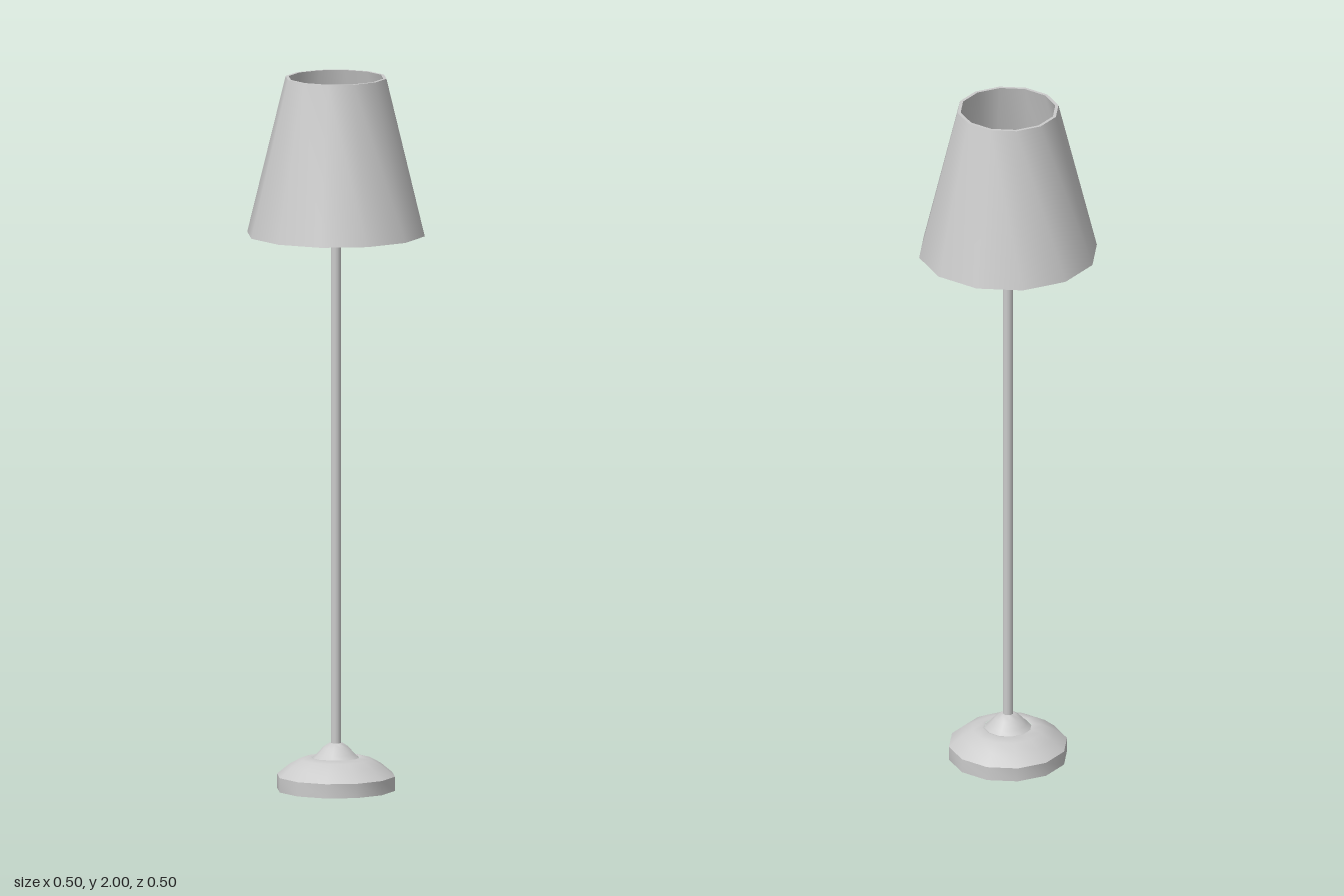
import * as THREE from 'three';
import { toCreasedNormals } from 'three/addons/utils/BufferGeometryUtils.js';

const SIDES = 12;

export function createModel() {
  const lamp = new THREE.Group();
  lamp.name = 'floorLamp';
  const material = new THREE.MeshStandardMaterial({ color: 0xcccccc });

  const add = (name, geometry, y = 0) => {
    const mesh = new THREE.Mesh(geometry, material);
    mesh.name = name;
    mesh.position.y = y;
    lamp.add(mesh);
    return mesh;
  };

  // Twelve-sided turned part, smooth around and sharp at the rims
  const turned = (profile) => toCreasedNormals(
    new THREE.LatheGeometry(profile.map(([r, y]) => new THREE.Vector2(r, y)), SIDES), 0.7);

  // Weighted foot with a sloping top and a small collar dome
  add('base', turned([
    [0, 0], [0.166, 0], [0.166, 0.04], [0.132, 0.068], [0.1, 0.086], [0.073, 0.092], [0.066, 0.09],
  ]));
  add('baseCollar', turned([
    [0.066, 0.088], [0.053, 0.1], [0.036, 0.119], [0.02, 0.13], [0, 0.134],
  ]));

  // Pole with a ball finial inside the shade
  const ballY = 1.86;
  const poleBottom = 0.08;
  add('pole', new THREE.CylinderGeometry(0.0145, 0.0145, ballY - poleBottom, SIDES), (ballY + poleBottom) / 2);
  add('finial', new THREE.SphereGeometry(0.023, 16, 12), ballY);

  // Hollow tapered shade with wall thickness
  add('shade', turned([
    [0.25, 1.56], [0.142, 2], [0.133, 2], [0.241, 1.56], [0.25, 1.56],
  ]));

  // Three spokes from the finial to the middle of shade facets
  const spokeLength = 0.165;
  for (let i = 0; i < 3; i++) {
    const geometry = new THREE.CylinderGeometry(0.004, 0.004, spokeLength, 8);
    geometry.rotateZ(-Math.PI / 2).translate(spokeLength / 2, 0, 0);
    add('shadeSpoke', geometry, ballY).rotation.y = Math.PI / 12 + (i * Math.PI * 2) / 3;
  }

  return lamp;
}
